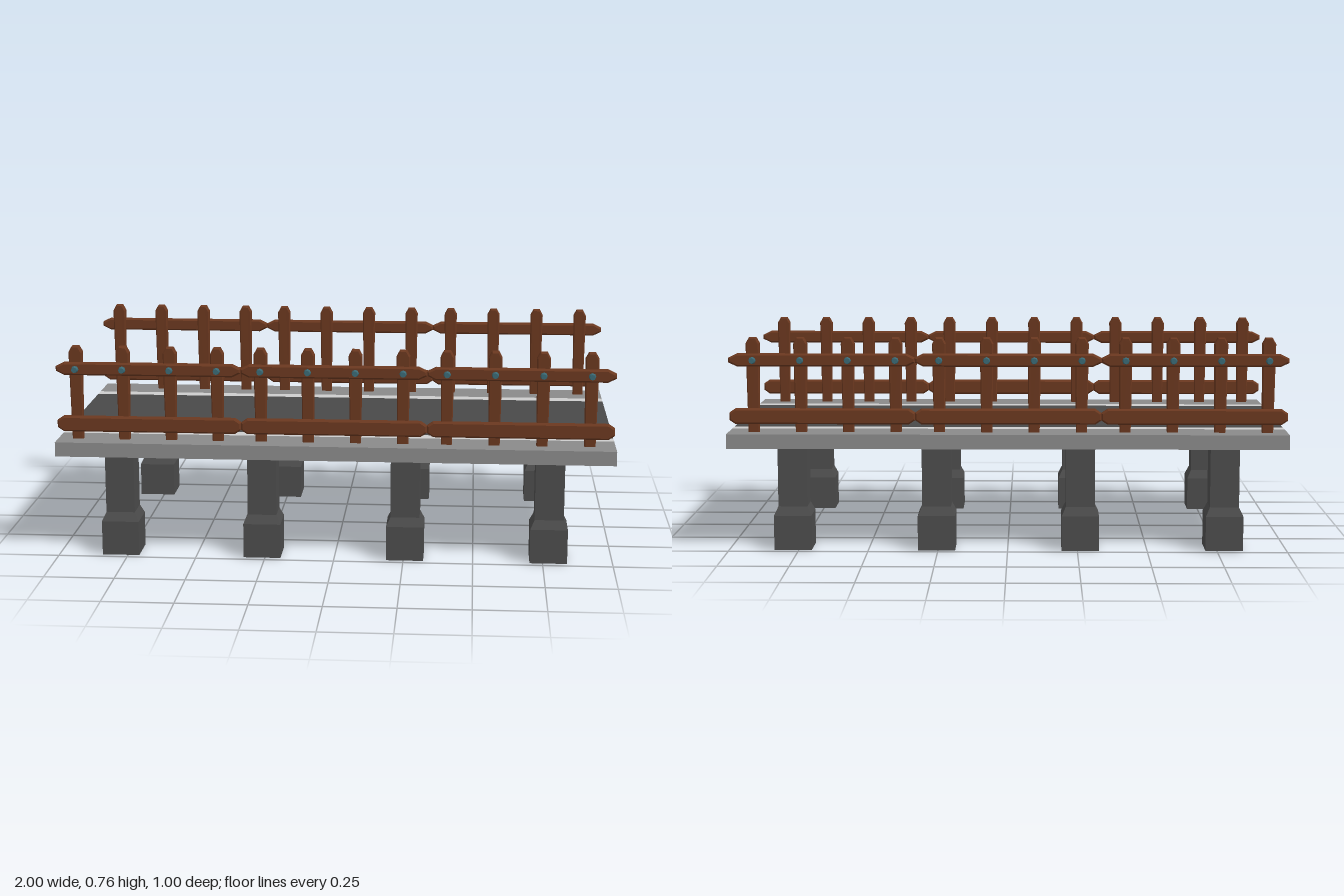
import * as THREE from 'three';

const mat = (name, color, side = THREE.FrontSide) =>
  Object.assign(new THREE.MeshStandardMaterial({ color, side }), { name });

// Flat outline extruded with a small bevel, centred on z = 0
function bevelled(points, thickness, bevel) {
  const shape = new THREE.Shape(points.map(([x, y]) => new THREE.Vector2(x, y)));
  const geo = new THREE.ExtrudeGeometry(shape, {
    depth: thickness - 2 * bevel, bevelEnabled: true, bevelSegments: 1,
    bevelSize: bevel, bevelThickness: bevel, bevelOffset: -bevel,
  });
  return geo.translate(0, 0, bevel - thickness / 2);
}

// Rail plank with tapered tips, centred on the origin
function railGeometry(length, height, tipLength, tipHeight) {
  const l = length / 2, h = height / 2, t = tipHeight / 2, s = l - tipLength;
  return bevelled([[-l, -t], [-s, -h], [s, -h], [l, -t], [l, t], [s, h], [-s, h], [-l, t]], 0.026, 0.006);
}

// Picket with a chamfered head, narrowing towards its foot
function postGeometry(bottom, top) {
  const w = 0.024;
  const geo = bevelled([[-w, bottom], [w, bottom], [w, top - 0.022], [w * 0.5, top],
    [-w * 0.5, top], [-w, top - 0.022]], 0.032, 0.004);
  const p = geo.attributes.position;
  for (let i = 0; i < p.count; i++) {
    const k = THREE.MathUtils.clamp((p.getY(i) - bottom) / (top - 0.03 - bottom), 0, 1);
    p.setX(i, p.getX(i) * (0.82 + 0.18 * k));
    p.setZ(i, p.getZ(i) * (0.5 + 0.5 * k));
  }
  geo.computeVertexNormals();
  return geo;
}

export function createModel() {
  const model = new THREE.Group();
  model.name = 'bridge';
  const wood = mat('wood', 0x6b381f);
  const metal = mat('boltMetal', 0x3a6a75);
  const pavement = mat('pavement', 0x8a8a8a, THREE.DoubleSide);
  const line = mat('lineWhite', 0xcccccc, THREE.DoubleSide);
  const asphalt = mat('asphalt', 0x494949, THREE.DoubleSide);
  const concrete = mat('concrete', 0x4c4c4c, THREE.DoubleSide);

  function add(parent, name, geo, material, x, y, z, turn = 0) {
    const mesh = new THREE.Mesh(geo, material);
    mesh.name = name;
    mesh.position.set(x, y, z);
    mesh.rotation.y = turn;
    parent.add(mesh);
  }

  // Hollow deck, open at both ends, striped alike above and below
  const deck = new THREE.Group();
  deck.name = 'deck';
  model.add(deck);
  const deckTop = 0.423, deckBottom = 0.371;
  const strips = [
    ['road', asphalt, -0.3, 0.3],
    ['leftLine', line, 0.3, 0.35], ['rightLine', line, -0.35, -0.3],
    ['frontWalk', pavement, 0.35, 0.5], ['backWalk', pavement, -0.5, -0.35],
  ];
  for (const [name, material, z0, z1] of strips) {
    const face = () => new THREE.PlaneGeometry(2, z1 - z0);
    add(deck, name, face().rotateX(-Math.PI / 2), material, 0, deckTop, (z0 + z1) / 2);
    add(deck, name + 'Underside', face().rotateX(Math.PI / 2), material, 0, deckBottom, (z0 + z1) / 2);
  }
  const edge = new THREE.PlaneGeometry(2, deckTop - deckBottom);
  add(deck, 'frontEdge', edge, pavement, 0, (deckTop + deckBottom) / 2, 0.5);
  add(deck, 'backEdge', edge, pavement, 0, (deckTop + deckBottom) / 2, -0.5, Math.PI);

  // Square pillars with wider feet, hollow underneath
  const profile = [[0.067, 0], [0.067, 0.125], [0.052, 0.157], [0.052, 0.374]]
    .map(([half, y]) => new THREE.Vector2(half * Math.SQRT2, y));
  const pillar = new THREE.LatheGeometry(profile, 4, Math.PI / 4).toNonIndexed();
  pillar.computeVertexNormals();
  for (const z of [0.409, -0.409])
    for (let i = 0; i < 4; i++) add(model, 'pillar', pillar, concrete, -0.776 + i * 0.5155, 0, z);

  // Fences: three panels a side, each with two rails and four bolted posts
  const post = postGeometry(0.412, 0.763);
  const topRail = railGeometry(0.664, 0.046, 0.03, 0.016);
  const lowRail = railGeometry(0.664, 0.056, 0.022, 0.026);
  const bolt = new THREE.CylinderGeometry(0.01, 0.014, 0.02, 8).rotateX(Math.PI / 2);
  for (const side of [1, -1]) {
    const turn = side > 0 ? 0 : Math.PI;
    const fence = new THREE.Group();
    fence.name = side > 0 ? 'frontFence' : 'backFence';
    model.add(fence);
    for (let panel = 0; panel < 3; panel++) {
      const cx = (panel - 1) * 0.664 - 0.002;
      add(fence, 'topRail', topRail, wood, cx, 0.683, side * 0.443, turn);
      add(fence, 'lowRail', lowRail, wood, cx, 0.481, side * 0.443, turn);
      for (let i = 0; i < 4; i++) {
        const x = cx - 0.262 + i * 0.1695;
        add(fence, 'post', post, wood, x, 0, side * 0.429, turn);
        add(fence, 'bolt', bolt, metal, x, 0.682, side * 0.462, turn);
      }
    }
  }
  return model;
}
